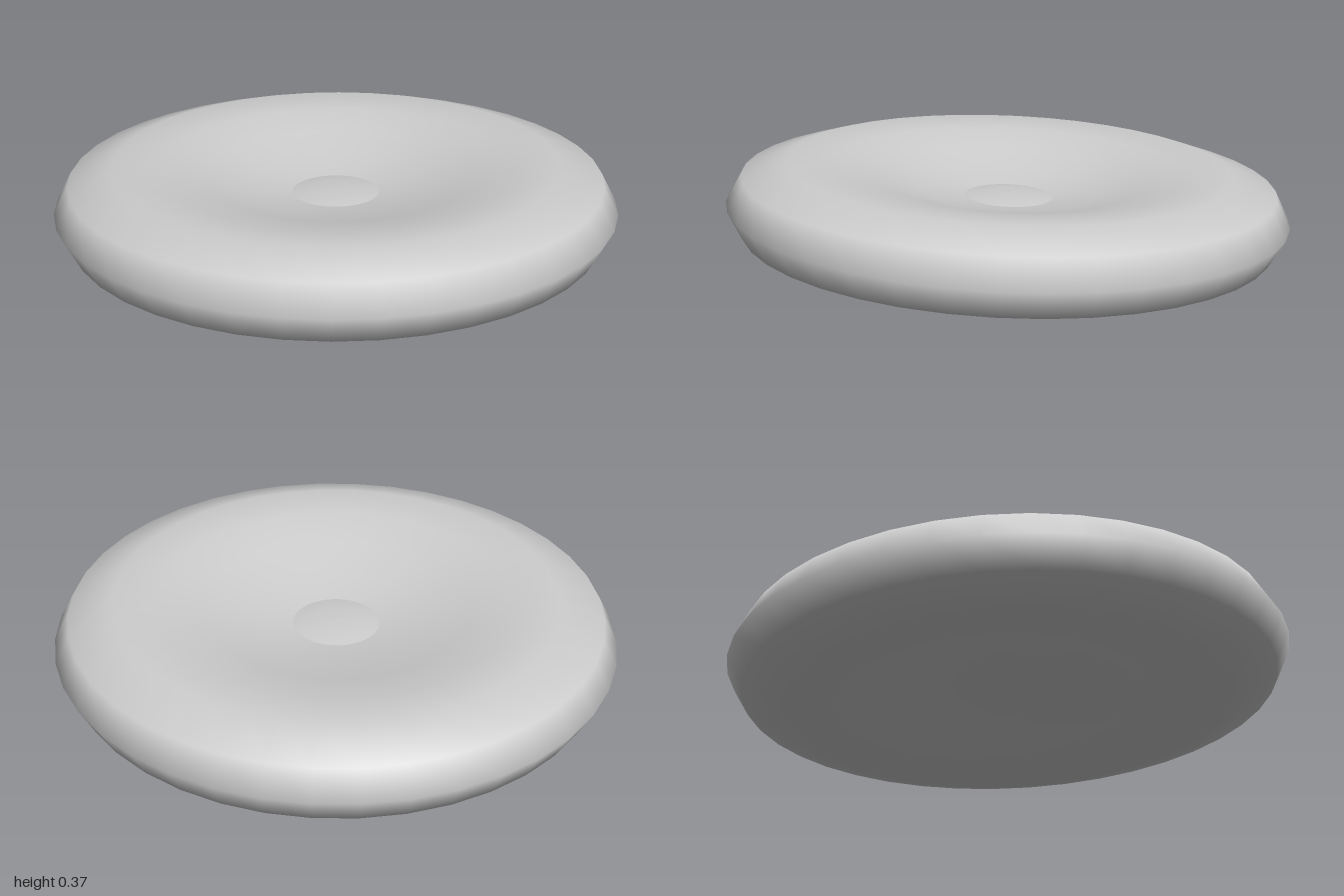
import * as THREE from 'three';

const SEGMENTS = 40;

export function createModel() {
  const group = new THREE.Group();
  const material = new THREE.MeshStandardMaterial({ color: 0xcccccc });

  // Tilted holder for the whole disc
  const cell = new THREE.Group();
  cell.name = 'cell';
  cell.position.y = 0.19;
  cell.rotation.set(-0.043, 0, -0.01);
  group.add(cell);

  // Biconcave body: half section from dimple to rim, mirrored top to bottom
  const upper = [
    [0.155, 0.03], [0.31, 0.052], [0.47, 0.1], [0.63, 0.135], [0.79, 0.15], [0.948, 0.098],
  ].map(([r, y]) => new THREE.Vector2(r, y));
  const lower = upper.map((p) => new THREE.Vector2(p.x, -p.y));
  const profile = [...lower, new THREE.Vector2(1, 0), ...upper.reverse()];
  const body = new THREE.Mesh(new THREE.LatheGeometry(profile, SEGMENTS), material);
  body.name = 'body';
  cell.add(body);

  // Shallow domes closing the dimples above and below
  const domeProfile = [[0.155, 0.03], [0.12, 0.036], [0.07, 0.041], [0, 0.043]]
    .map(([r, y]) => new THREE.Vector2(r, y));
  const domeGeometry = new THREE.LatheGeometry(domeProfile, SEGMENTS);
  for (const [name, turn] of [['upperCentre', 0], ['lowerCentre', Math.PI]]) {
    const dome = new THREE.Mesh(domeGeometry, material);
    dome.name = name;
    dome.rotation.x = turn;
    cell.add(dome);
  }
  return group;
}
